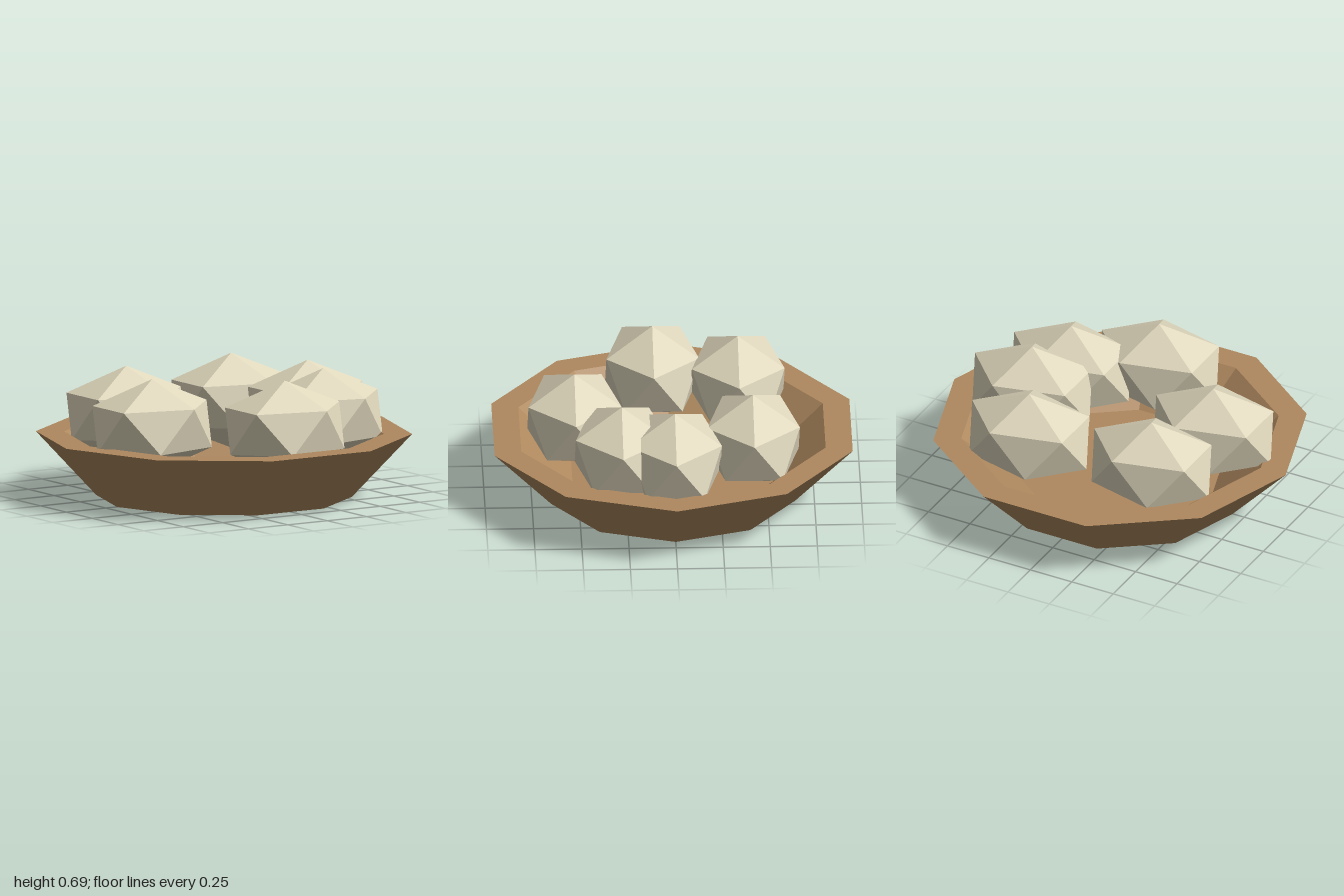
import * as THREE from 'three';

export function createModel() {
  const model = new THREE.Group();
  const tan = new THREE.MeshStandardMaterial({ color: 0xaf895f, flatShading: true });
  tan.name = 'tan wood';
  const cream = new THREE.MeshStandardMaterial({ color: 0xdfd7bc, flatShading: true });
  cream.name = 'cream';

  // Ten-sided bowl: underside, flared wall, flat rim, inner wall, floor
  const profile = [[0, 0], [0.68, 0], [1, 0.34], [0.85, 0.34], [0.56, 0.1], [0, 0.1]]
    .map(([r, y]) => new THREE.Vector2(r, y));
  const bowl = new THREE.Mesh(new THREE.LatheGeometry(profile, 10, Math.PI / 10), tan);
  bowl.name = 'bowl';
  model.add(bowl);

  // Faceted lump: icosahedron turned to stand on a corner, then stretched along x
  const lumpGeometry = new THREE.IcosahedronGeometry(1, 0);
  lumpGeometry.rotateZ(-Math.atan(2 / (1 + Math.sqrt(5))));
  lumpGeometry.scale(0.386, 0.255, 0.29);

  const lumps = new THREE.Group();
  lumps.name = 'lumps';
  const centres = [[-0.385, -0.36], [0.32, -0.42], [-0.515, 0.09], [0.53, 0], [0.445, 0.28], [0.045, 0.52]];
  centres.forEach(([x, z], i) => {
    const lump = new THREE.Mesh(lumpGeometry, cream);
    lump.name = `lump${i + 1}`;
    lump.position.set(x, 0.43, z);
    lumps.add(lump);
  });
  model.add(lumps);

  return model;
}
